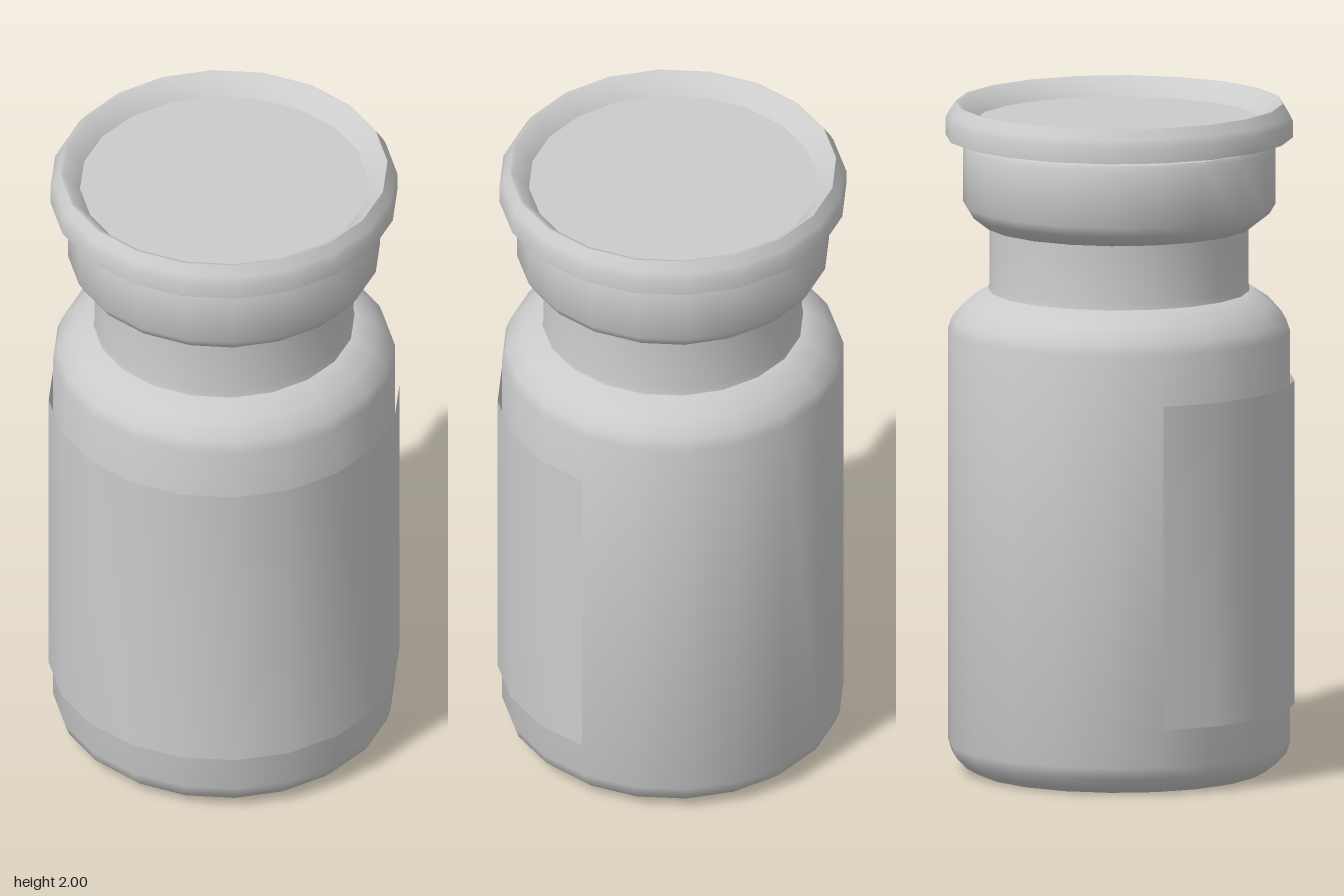
import * as THREE from 'three';
import { toCreasedNormals } from 'three/addons/utils/BufferGeometryUtils.js';

const SIDES = 20;
const STEP = (Math.PI * 2) / SIDES;

// Turned part: profile of [radius, y] points from bottom to top, outside facing out
function turned(name, profile, { first = 0, count = SIDES, side = THREE.FrontSide } = {}) {
  const points = profile.map(([r, y]) => new THREE.Vector2(r, y));
  const lathe = new THREE.LatheGeometry(points, count, (first + 0.5) * STEP, count * STEP);
  const material = new THREE.MeshStandardMaterial({ color: 0xcccccc, side });
  const mesh = new THREE.Mesh(toCreasedNormals(lathe, THREE.MathUtils.degToRad(42)), material);
  mesh.name = name;
  return mesh;
}

export function createModel() {
  const model = new THREE.Group();
  model.name = 'vial';

  // Glass body with rounded base and shoulder
  model.add(turned('body', [
    [0, 0], [0.43, 0], [0.465, 0.02], [0.495, 0.05], [0.507, 0.085],
    [0.507, 1.32], [0.495, 1.355], [0.455, 1.4], [0.395, 1.44], [0.37, 1.44],
  ]));

  // Straight neck
  model.add(turned('neck', [[0.388, 1.435], [0.384, 1.46], [0.384, 1.65]]));

  // Crimped collar under the cap
  model.add(turned('collar', [
    [0.36, 1.635], [0.4, 1.635], [0.445, 1.67], [0.463, 1.7],
    [0.463, 1.87], [0.455, 1.885], [0.43, 1.892], [0.4, 1.892],
  ]));

  // Flip-off cap with a bevelled rim and sunken top
  model.add(turned('cap', [
    [0.38, 1.892], [0.455, 1.898], [0.515, 1.9], [0.515, 1.95], [0.505, 1.97],
    [0.485, 2], [0.475, 1.998], [0.427, 1.945], [0, 1.945],
  ]));

  // Paper label wrapped part of the way round the front
  model.add(turned('label', [[0.52, 0.2], [0.52, 1.17]],
    { first: -5, count: 11, side: THREE.DoubleSide }));

  return model;
}
